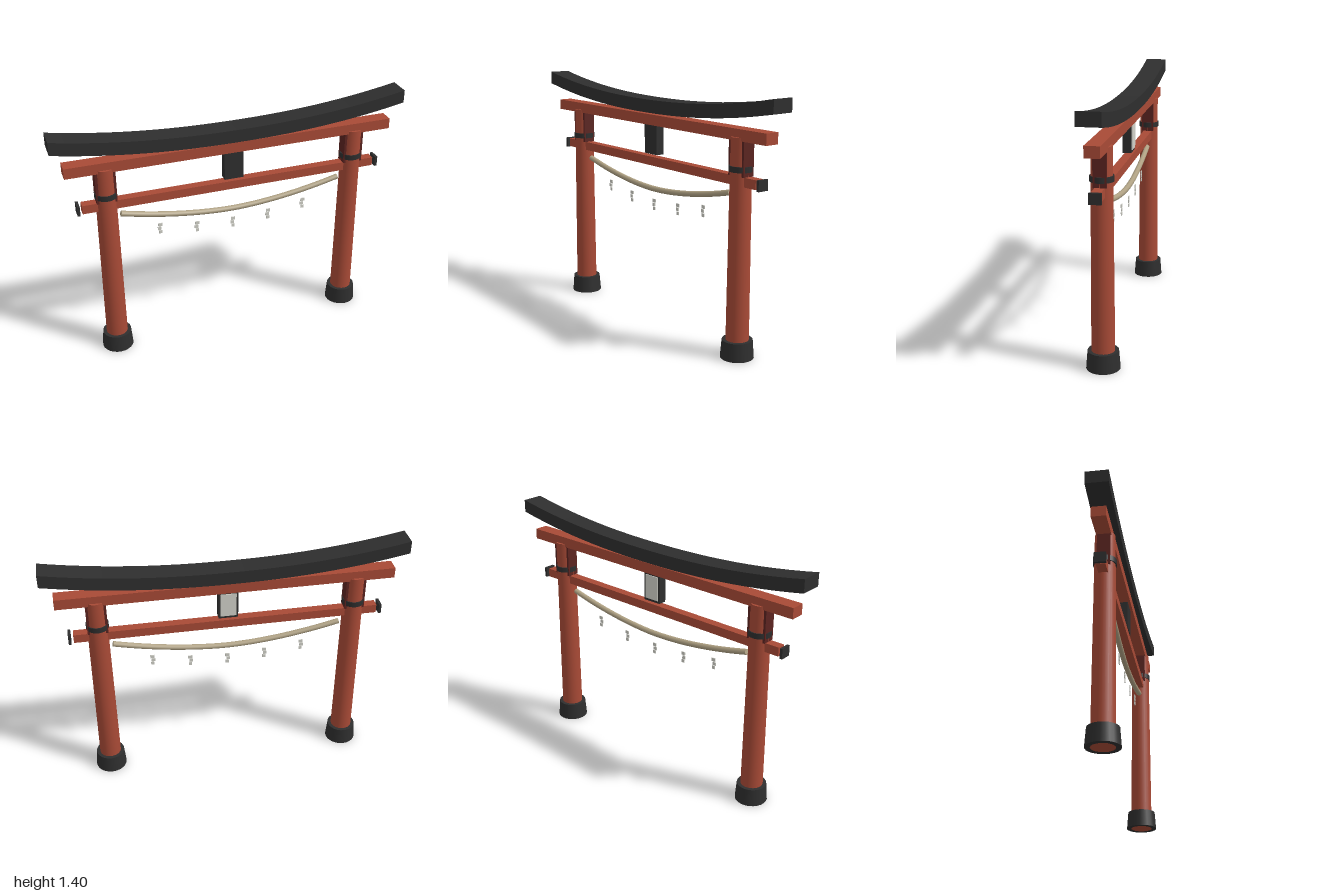
import * as THREE from 'three';

const paint = (name, color, side = THREE.FrontSide) => {
  const m = new THREE.MeshStandardMaterial({ color, side });
  m.name = name;
  return m;
};

export function createModel() {
  const group = new THREE.Group();
  const red = paint('vermilion', 0xa84a36);
  const darkRed = paint('dark red', 0x5c2420);
  const black = paint('charcoal', 0x2e2e2e);
  const straw = paint('straw', 0xb0a284);
  const paper = paint('paper', 0xd2d2ca);

  const add = (name, geometry, material, x = 0, y = 0, z = 0, parent = group) => {
    const mesh = new THREE.Mesh(geometry, material);
    mesh.name = name;
    mesh.position.set(x, y, z);
    parent.add(mesh);
    return mesh;
  };
  const box = (name, w, y0, y1, d, material, x = 0, z = 0, parent = group) =>
    add(name, new THREE.BoxGeometry(w, y1 - y0, d), material, x, (y0 + y1) / 2, z, parent);

  // Upswept top lintel: a curved band extruded through its depth
  const rise = (x) => 0.088 * Math.abs(x) ** 2.2;
  const lintel = new THREE.Shape();
  const steps = 24;
  for (let i = 0; i <= steps; i++) {
    const x = -1 + (2 * i) / steps;
    if (i === 0) lintel.moveTo(x, 1.235 + rise(x));
    else lintel.lineTo(x, 1.235 + rise(x));
  }
  for (let i = steps; i >= 0; i--) {
    const x = -1 + (2 * i) / steps;
    lintel.lineTo(x, 1.308 + rise(x));
  }
  lintel.closePath();
  const lintelGeo = new THREE.ExtrudeGeometry(lintel, { depth: 0.125, bevelEnabled: false });
  add('topLintel', lintelGeo, black, 0, 0, -0.0625);

  // Straight beams
  box('upperBeam', 1.87, 1.163, 1.223, 0.08, red);
  box('tieBeam', 1.71, 0.93, 0.98, 0.05, red);

  // Pillars with base collar, neck band, wedge block and beam end cap
  const collarProfile = [[0.062, 0], [0.09, 0], [0.09, 0], [0.082, 0.1], [0.082, 0.1], [0.058, 0.1]]
    .map(([r, y]) => new THREE.Vector2(r, y));
  for (const [side, s] of [['left', 1], ['right', -1]]) {
    const post = new THREE.Group();
    post.name = side + 'Post';
    post.position.x = 0.72 * s;
    group.add(post);
    add('pillar', new THREE.CylinderGeometry(0.055, 0.0625, 1.18, 24), red, 0, 0.59, 0, post);
    // Separate rings keep the collar edges crisp
    for (let i = 0; i < 6; i += 2) {
      const a = collarProfile[i], b = collarProfile[i + 1];
      add('baseCollar', new THREE.LatheGeometry([a, b], 24), black, 0, 0, 0, post);
    }
    add('collarSide', new THREE.CylinderGeometry(0.082, 0.09, 0.1, 24, 1, true), black, 0, 0.05, 0, post);
    add('neckBand', new THREE.CylinderGeometry(0.062, 0.062, 0.03, 24), black, 0, 1.018, 0, post);
    box('wedgeBlock', 0.112, 0.98, 1.163, 0.07, darkRed, 0, 0, post);
    box('beamEndCap', 0.015, 0.925, 0.983, 0.064, black, 0.156 * s, 0, post);
  }

  // Central plaque with a pale panel on its rear face
  box('plaque', 0.11, 0.995, 1.163, 0.05, black);
  box('plaquePanel', 0.09, 1.01, 1.15, 0.006, paper, 0, -0.027);

  // Sagging rope
  const ropePoints = [];
  for (let i = -6; i <= 6; i++) {
    const t = i / 6;
    ropePoints.push(new THREE.Vector3(0.645 * t, 0.79 + 0.09 * Math.abs(t) ** 1.8, 0));
  }
  const ropeCurve = new THREE.CatmullRomCurve3(ropePoints);
  add('rope', new THREE.TubeGeometry(ropeCurve, 32, 0.016, 10), straw);
  for (const s of [1, -1]) {
    const end = add('ropeEnd', new THREE.CircleGeometry(0.016, 10), straw, 0.645 * s, 0.88, 0);
    end.rotation.y = (s * Math.PI) / 2;
    end.rotation.order = 'ZYX';
    end.rotation.z = s * 0.24;
  }

  // Zigzag paper streamers
  for (let i = -2; i <= 2; i++) {
    const top = 0.73 + [0, 0.012, 0.043][Math.abs(i)];
    for (let k = 0; k < 3; k++) {
      const y = top - k * 0.023;
      box('paperStreamer', 0.024 - k * 0.003, y - 0.019, y, 0.005, paper, 0.215 * i + (k % 2 ? -0.003 : 0.002));
    }
  }
  return group;
}
